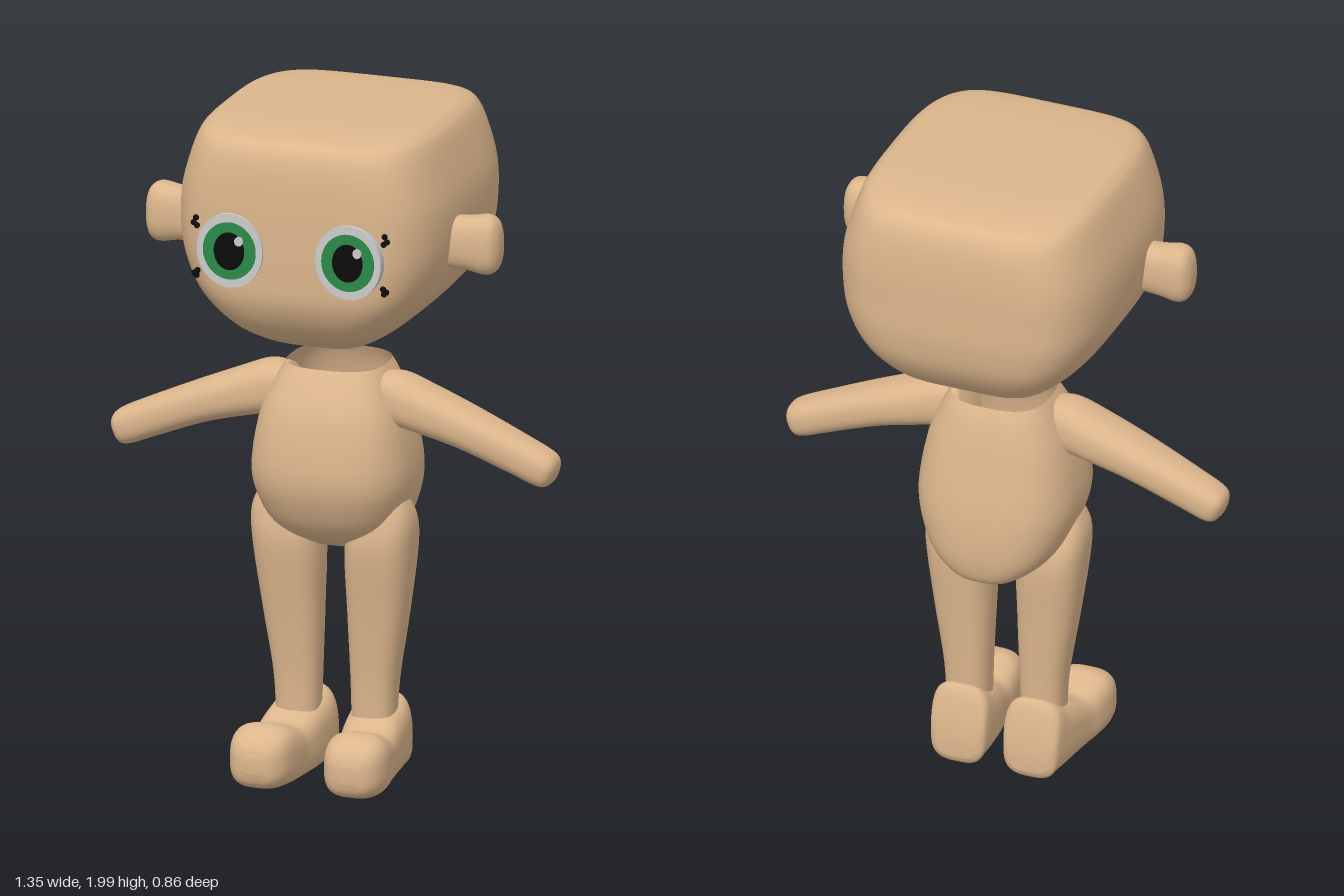
import * as THREE from 'three';

const mat = (color, side = THREE.FrontSide) => new THREE.MeshStandardMaterial({ color, side, roughness: 0.8 });

// Smooth body through rounded cross-sections along y.
// Section: [y, centreX, centreZ, radiusX, radiusZ]; px and pz set how square each ring is.
function loft(sections, { s = 1, px = 2.5, pz = px, openTop = false, steps = 5, seg = 56 } = {}) {
  const rings = [];
  const last = sections.length - 1;
  const at = i => sections[Math.min(last, Math.max(0, i))];
  for (let i = 0; i < last; i++) {
    for (let k = 0; k < steps + (i === last - 1 ? 1 : 0); k++) {
      const t = k / steps;
      rings.push(at(i).map((b, c) => {
        const a = at(i - 1)[c], d = at(i + 1)[c], e = at(i + 2)[c];
        return b + 0.5 * t * (d - a + t * (2 * a - 5 * b + 4 * d - e + t * (3 * (b - d) + e - a)));
      }));
    }
  }
  const pos = [], idx = [];
  const pw = (v, p) => Math.sign(v) * Math.pow(Math.abs(v), 2 / p);
  for (const [y, cx, cz, rx, rz] of rings) {
    for (let j = 0; j < seg; j++) {
      const a = (j / seg) * Math.PI * 2;
      pos.push(cx * s + rx * pw(Math.cos(a), px), y, cz + rz * pw(Math.sin(a), pz));
    }
  }
  for (let i = 0; i < rings.length - 1; i++) {
    for (let j = 0; j < seg; j++) {
      const a = i * seg + j, b = i * seg + (j + 1) % seg;
      idx.push(a, a + seg, b, b, a + seg, b + seg);
    }
  }
  const n = rings.length, top = (n - 1) * seg, r0 = rings[0], r1 = rings[n - 1];
  pos.push(r0[1] * s, r0[0], r0[2], r1[1] * s, r1[0], r1[2]);
  for (let j = 0; j < seg; j++) {
    const k = (j + 1) % seg;
    idx.push(n * seg, j, k);
    if (!openTop) idx.push(n * seg + 1, top + k, top + j);
  }
  const g = new THREE.BufferGeometry();
  g.setAttribute('position', new THREE.Float32BufferAttribute(pos, 3));
  g.setIndex(idx);
  g.computeVertexNormals();
  return g;
}

export function createModel() {
  const model = new THREE.Group();
  const skin = mat(0xdcb68c), skinOpen = mat(0xdcb68c, THREE.DoubleSide);
  const white = mat(0xd8d8d8), green = mat(0x2a8a48), black = mat(0x0c0c0c);
  const add = (name, geo, material, parent = model) => {
    const m = new THREE.Mesh(geo, material);
    m.name = name;
    parent.add(m);
    return m;
  };

  // Boxy head with a rounded chin and a nearly flat top
  add('head', loft([
    [1.303, 0, 0.03, 0.03, 0.06],
    [1.315, 0, 0.02, 0.09, 0.13],
    [1.35, 0, 0.015, 0.17, 0.235],
    [1.41, 0, 0.005, 0.255, 0.34],
    [1.5, 0, -0.003, 0.34, 0.403],
    [1.6, 0, -0.01, 0.39, 0.419],
    [1.7, 0, -0.01, 0.406, 0.42],
    [1.8, 0, -0.01, 0.402, 0.419],
    [1.9, 0, -0.008, 0.375, 0.41],
    [1.96, 0, -0.005, 0.352, 0.388],
    [1.985, 0, 0, 0.33, 0.345],
    [1.997, 0, 0, 0.3, 0.24],
    [2.0, 0, 0, 0.2, 0.12],
  ], { px: 5, pz: 3.2, seg: 96 }), skin);

  // Torso, open at the neck
  add('torso', loft([
    [0.678, 0, -0.09, 0.04, 0.06],
    [0.695, 0, -0.075, 0.1, 0.125],
    [0.745, 0, -0.04, 0.17, 0.18],
    [0.82, 0, -0.015, 0.213, 0.21],
    [0.93, 0, 0.005, 0.236, 0.222],
    [1.09, 0, 0.01, 0.212, 0.197],
    [1.19, 0, 0, 0.172, 0.162],
    [1.24, 0, -0.005, 0.145, 0.135],
  ], { px: 2.8, openTop: true }), skinOpen);

  for (const s of [1, -1]) {
    const side = s > 0 ? 'left' : 'right';

    // Arm, sloping down and outwards
    const arm = add(side + 'Arm', loft([
      [-0.01, 0.01, 0, 0.06, 0.055],
      [0.05, 0, 0, 0.078, 0.075],
      [0.15, -0.008, 0, 0.07, 0.082],
      [0.29, -0.014, 0, 0.06, 0.077],
      [0.45, -0.01, 0, 0.056, 0.066],
      [0.535, -0.006, 0, 0.053, 0.06],
      [0.565, -0.004, 0, 0.042, 0.048],
      [0.577, -0.003, 0, 0.018, 0.022],
    ], { s }), skin);
    arm.position.set(s * 0.13, 1.17, 0.022);
    arm.rotation.z = -s * THREE.MathUtils.degToRad(111);

    // Leg, tapering to the ankle
    add(side + 'Leg', loft([
      [0.14, 0.115, 0.015, 0.062, 0.06],
      [0.3, 0.117, 0.014, 0.068, 0.066],
      [0.5, 0.129, 0.018, 0.086, 0.084],
      [0.7, 0.14, 0.025, 0.1, 0.105],
      [0.8, 0.152, 0.035, 0.089, 0.085],
      [0.87, 0.14, 0.04, 0.07, 0.06],
    ], { s, px: 2.7 }), skin);

    // Foot, built from heel to toe: [z, x, bottom, top, half width]
    const foot = [
      [-0.1, 0.112, 0.035, 0.09, 0.055],
      [-0.088, 0.112, 0.014, 0.17, 0.08],
      [-0.058, 0.113, 0.01, 0.25, 0.088],
      [0, 0.117, 0.01, 0.226, 0.09],
      [0.06, 0.122, 0.01, 0.205, 0.09],
      [0.13, 0.13, 0.01, 0.176, 0.088],
      [0.18, 0.136, 0.011, 0.188, 0.093],
      [0.235, 0.142, 0.014, 0.2, 0.094],
      [0.285, 0.143, 0.022, 0.185, 0.084],
      [0.317, 0.143, 0.04, 0.155, 0.06],
      [0.33, 0.143, 0.075, 0.12, 0.025],
    ].map(([z, x, lo, hi, r]) => [z, x, -(lo + hi) / 2, r, (hi - lo) / 2]);
    add(side + 'Foot', loft(foot, { s, px: 3 }), skin).rotation.x = Math.PI / 2;

    // Ear
    const ear = add(side + 'Ear', loft([
      [0, 0, 0, 0.075, 0.048],
      [0.08, 0, 0, 0.08, 0.054],
      [0.13, 0, 0, 0.088, 0.058],
      [0.158, 0, 0, 0.078, 0.05],
      [0.172, 0, 0, 0.05, 0.03],
      [0.176, 0, 0, 0.015, 0.01],
    ]), skin);
    ear.position.set(s * 0.362, 1.663, 0.114);
    ear.rotation.z = -s * Math.PI / 2;

    // Eye: stacked oval discs
    const eye = new THREE.Group();
    eye.name = side + 'Eye';
    eye.position.set(s * 0.18, 1.66, 0);
    model.add(eye);
    const disc = (name, x, y, rx, ry, front, material) => {
      const g = new THREE.CylinderGeometry(1, 1, 0.03, 40).rotateX(Math.PI / 2).scale(rx, ry, 1);
      add(name, g, material, eye).position.set(x, y, front - 0.015);
    };
    disc('eyeWhite', 0, 0, 0.1, 0.11, 0.418, white);
    disc('iris', 0, 0, 0.08, 0.085, 0.421, green);
    disc('pupil', 0, 0, 0.046, 0.056, 0.424, black);
    disc('highlight', 0.03, 0.032, 0.013, 0.014, 0.427, white);

    // Lash beads at the outer corners
    for (const [x, y] of [[0.107, 0.085], [0.114, 0.07], [0.104, 0.062], [0.102, -0.072], [0.112, -0.08], [0.105, -0.086]]) {
      add('lash', new THREE.SphereGeometry(0.009, 10, 8), black, eye).position.set(s * x, y, 0.404);
    }
  }
  return model;
}
